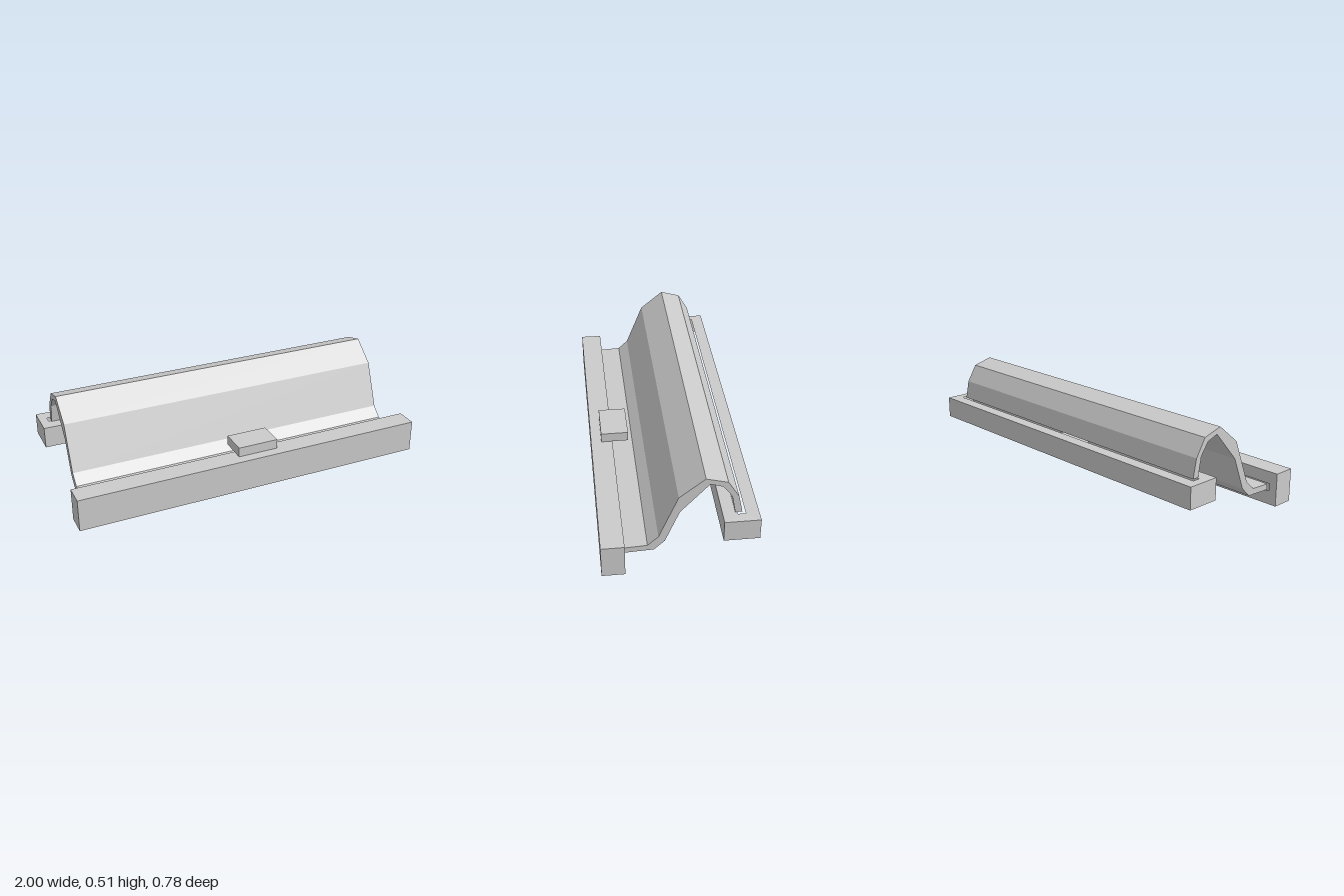
import * as THREE from 'three';

const grey = new THREE.MeshStandardMaterial({ color: 0xcccccc, flatShading: true, side: THREE.DoubleSide });

// Tab and slot extents along the rails
const TAB = [-0.08, 0.15];
const SLOT = [-0.955, 0.945];

function rect(x0, x1, y0, y1) {
  return new THREE.Shape([[x0, y0], [x1, y0], [x1, y1], [x0, y1]].map(p => new THREE.Vector2(...p)));
}

// Rectangle with a long slot cut through it
function slotted(a, b, s0, s1) {
  const shape = rect(-1, 1, a, b);
  shape.holes.push(rect(SLOT[0], SLOT[1], s0, s1));
  return shape;
}

// Strip from a to b with an opening at the tab between h0 and h1
function notched(a, b, h0, h1) {
  const strips = [rect(-1, TAB[0], a, b), rect(TAB[1], 1, a, b)];
  if (h0 > a) strips.push(rect(...TAB, a, h0));
  if (h1 < b) strips.push(rect(...TAB, h1, b));
  return strips;
}

function add(group, name, geometry) {
  const mesh = new THREE.Mesh(geometry, grey);
  mesh.name = name;
  group.add(mesh);
}

// Sheet panels: wall is in x-y at a given z, deck is in x-z at a given y, end is in y-z at a given x
function wall(group, name, z, shapes) {
  add(group, name, new THREE.ShapeGeometry(shapes).translate(0, 0, z));
}
function deck(group, name, y, shapes) {
  add(group, name, new THREE.ShapeGeometry(shapes).rotateX(Math.PI / 2).translate(0, y, 0));
}
function ends(group, name, xs, z0, z1, y0, y1) {
  for (const x of xs) {
    add(group, name, new THREE.ShapeGeometry(rect(-z1, -z0, y0, y1)).rotateY(Math.PI / 2).translate(x, 0, 0));
  }
}

function makeGroup(name, parent) {
  const group = new THREE.Group();
  group.name = name;
  parent.add(group);
  return group;
}

export function createModel() {
  const model = new THREE.Group();
  model.name = 'foldedSheetWithRails';

  // Bent sheet: one profile, extruded along x
  const profile = [
    [0.275, 0.11], [0.157, 0.116], [0.102, 0.167], [0.004, 0.41], [-0.125, 0.515], [-0.234, 0.485],
    [-0.29, 0.393], [-0.31, 0.293], [-0.275, 0.293], [-0.256, 0.397], [-0.21, 0.46], [-0.147, 0.481],
    [-0.003, 0.32], [0.07, 0.138], [0.125, 0.085], [0.275, 0.078],
  ];
  const section = new THREE.Shape(profile.map(([z, y]) => new THREE.Vector2(-z, y)));
  add(model, 'bentSheet', new THREE.ExtrudeGeometry(section, { depth: 1.87, bevelEnabled: false })
    .rotateY(Math.PI / 2).translate(-0.94, 0, 0));

  // Front rail: hollow, open below, slot in its back wall
  const front = makeGroup('frontRail', model);
  wall(front, 'railFront', 0.392, rect(-1, 1, 0, 0.181));
  wall(front, 'railBack', 0.274, slotted(0, 0.181, 0.075, 0.115));
  deck(front, 'railTop', 0.181, notched(0.274, 0.392, 0.274, 0.335));
  ends(front, 'railEnd', [-1, 1], 0.274, 0.392, 0, 0.181);

  // Front tab lying on the rail and overhanging the sheet
  const frontTab = makeGroup('frontTab', model);
  deck(frontTab, 'tabTop', 0.235, rect(...TAB, 0.185, 0.335));
  deck(frontTab, 'tabUnderside', 0.181, rect(...TAB, 0.185, 0.274));
  for (const z of [0.185, 0.335]) wall(frontTab, 'tabEdge', z, rect(...TAB, 0.181, 0.235));
  ends(frontTab, 'tabSide', TAB, 0.185, 0.335, 0.181, 0.235);

  // Rear rail: hollow, open below, slot in its top
  const rear = makeGroup('rearRail', model);
  wall(rear, 'railBack', -0.392, rect(-1, 1, 0.175, 0.293));
  wall(rear, 'railFront', -0.211, notched(0.175, 0.293, 0.232, 0.293));
  deck(rear, 'railTop', 0.293, slotted(-0.392, -0.211, -0.325, -0.285));
  ends(rear, 'railEnd', [-1, 1], -0.392, -0.211, 0.175, 0.293);

  // Rear tab standing against the rail, under the sheet
  const rearTab = makeGroup('rearTab', model);
  wall(rearTab, 'tabFront', -0.157, rect(...TAB, 0.232, 0.382));
  wall(rearTab, 'tabBack', -0.211, rect(...TAB, 0.293, 0.382));
  for (const y of [0.232, 0.382]) deck(rearTab, 'tabEdge', y, rect(...TAB, -0.211, -0.157));
  ends(rearTab, 'tabSide', TAB, -0.211, -0.157, 0.232, 0.382);

  return model;
}
